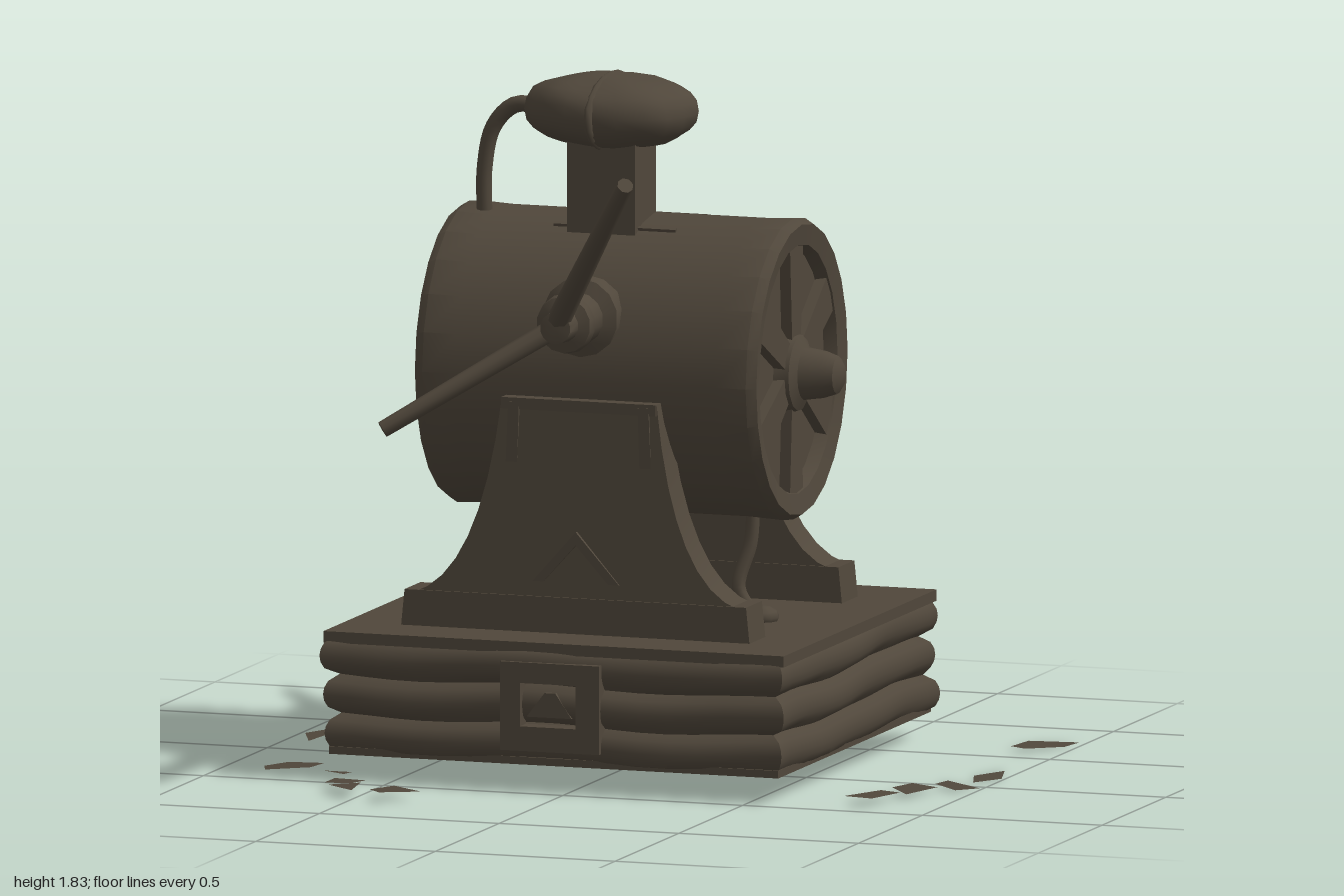
import * as THREE from 'three';
import { toCreasedNormals } from 'three/addons/utils/BufferGeometryUtils.js';

const V = (x, y, z) => new THREE.Vector3(x, y, z);

export function createModel() {
  const root = new THREE.Group();
  root.name = 'oldMachine';
  const iron = new THREE.MeshStandardMaterial({ color: 0x50473b, side: THREE.DoubleSide });
  iron.name = 'darkBrown';
  const CX = -0.04, CZ = -0.135;

  function add(parent, name, geo, x = 0, y = 0, z = 0, crease = 0.6) {
    const mesh = new THREE.Mesh(toCreasedNormals(geo, crease), iron);
    mesh.name = name;
    mesh.position.set(x, y, z);
    parent.add(mesh);
    return mesh;
  }
  const lathe = (pts, n = 18) => new THREE.LatheGeometry(pts.map(p => new THREE.Vector2(...p)), n);
  const shape = pts => new THREE.Shape(pts.map(p => new THREE.Vector2(...p)));
  const extrude = (s, depth) => new THREE.ExtrudeGeometry(s, { depth, bevelEnabled: false, curveSegments: 8 });
  const tube = (pts, r) => new THREE.TubeGeometry(new THREE.CatmullRomCurve3(pts), 20, r, 8);

  // Tapered round bar between two points
  function bar(parent, name, a, b, ra, rb) {
    const m = add(parent, name, new THREE.CylinderGeometry(rb, ra, a.distanceTo(b), 8), 0, 0, 0, 0.9);
    m.position.copy(a).lerp(b, 0.5);
    m.quaternion.setFromUnitVectors(V(0, 1, 0), b.clone().sub(a).normalize());
  }

  // Base: three stacked, uneven rows under a flat slab
  const rows = new THREE.BoxGeometry(1.28, 0.31, 1.22, 16, 18, 16);
  const p = rows.attributes.position;
  for (let i = 0; i < p.count; i++) {
    const x = p.getX(i), y = p.getY(i), z = p.getZ(i);
    const t = (y + 0.155) / 0.31;
    const inset = 0.035 * (1 - Math.sqrt(Math.abs(Math.sin(t * Math.PI * 3)))) +
      0.006 * Math.sin(x * 11 + z * 13 + Math.floor(t * 2.99) * 2);
    p.setX(i, x * (1 - inset / 0.64));
    p.setZ(i, z * (1 - inset / 0.61));
    if (t > 0.05 && t < 0.95) p.setY(i, y + 0.006 * Math.sin(x * 9 - z * 7));
  }
  add(root, 'stackedBase', rows, CX, 0.225, -0.14, 0.8);
  add(root, 'baseSlab', new THREE.BoxGeometry(1.28, 0.03, 1.2), CX, 0.38, -0.14);
  add(root, 'baseFoot', new THREE.BoxGeometry(1.25, 0.02, 1.2), CX, 0.08, -0.14);

  // Plaques with a recessed square on the front and back of the base
  const frontPlate = shape([[-0.18, 0.11], [0.095, 0.11], [0.095, 0.345], [-0.18, 0.345]]);
  const backPlate = shape([[-0.12, 0.1], [0.095, 0.1], [0.19, 0.345], [-0.18, 0.345]]);
  for (const s of [frontPlate, backPlate]) {
    s.holes.push(new THREE.Path([[-0.125, 0.175], [-0.125, 0.29], [0.03, 0.29], [0.03, 0.175]]
      .map(q => new THREE.Vector2(...q))));
  }
  add(root, 'frontPlaque', extrude(frontPlate, 0.05), 0, 0, 0.435);
  add(root, 'backPlaque', extrude(backPlate, 0.05), 0, 0, -0.76);
  const wedge = shape([[-0.11, 0.2], [0.015, 0.2], [-0.03, 0.265], [-0.06, 0.265]]);
  add(root, 'frontPlaqueEmblem', extrude(wedge, 0.03), 0, 0, 0.445);
  add(root, 'backPlaqueEmblem', extrude(wedge, 0.03), 0, 0, -0.75);

  // Flared stands, one mirrored to the back
  for (const side of [1, -1]) {
    const stand = new THREE.Group();
    stand.name = side > 0 ? 'frontStand' : 'backStand';
    const body = new THREE.Shape();
    body.moveTo(-0.46, 0.48);
    body.quadraticCurveTo(-0.27, 0.53, -0.215, 1.01);
    body.lineTo(0.215, 1.01);
    body.quadraticCurveTo(0.27, 0.53, 0.46, 0.48);
    const bodyGeo = extrude(body, 0.1);
    const b = bodyGeo.attributes.position;
    // Lean the outer face inwards towards the top
    for (let i = 0; i < b.count; i++) if (b.getZ(i) > 0.05) b.setZ(i, 0.115 - (b.getY(i) - 0.48) * 0.05);
    add(stand, 'standBody', bodyGeo, 0, 0, 0.305, 0.5);
    add(stand, 'standFoot', extrude(shape([[-0.485, 0.39], [0.485, 0.39], [0.475, 0.49], [-0.475, 0.49]]), 0.125), 0, 0, 0.3);
    // Raised chevron and border strips
    add(stand, 'standChevron', extrude(shape([[-0.12, 0.53], [-0.09, 0.53], [0, 0.63], [0.09, 0.53],
      [0.12, 0.53], [0, 0.665]]), 0.012), 0, 0, 0.41);
    for (const s of [-1, 1]) {
      add(stand, 'standBorder', extrude(shape([[s * 0.215, 0.53], [s * 0.18, 0.53], [s * 0.165, 1.0],
        [s * 0.195, 1.0]]), 0.012), 0, 0, 0.39);
    }
    add(stand, 'standCap', new THREE.BoxGeometry(0.43, 0.03, 0.1), 0, 0.995, 0.35);
    stand.position.set(CX, 0, CZ);
    if (side < 0) stand.rotation.y = Math.PI;
    root.add(stand);
  }

  // Drum with recessed spoked ends
  const drum = new THREE.Group();
  drum.name = 'drum';
  drum.position.set(-0.035, 1.06, CZ);
  drum.scale.set(1, 1, 0.93);
  root.add(drum);
  const barrel = lathe([[0, -0.43], [0.32, -0.43], [0.33, -0.465], [0.385, -0.475], [0.4, -0.45], [0.395, -0.36],
    [0.395, 0.36], [0.4, 0.45], [0.385, 0.475], [0.33, 0.465], [0.32, 0.43], [0, 0.43]], 24);
  barrel.rotateZ(-Math.PI / 2);
  add(drum, 'barrel', barrel);
  for (const side of [1, -1]) {
    const end = new THREE.Group();
    end.name = side > 0 ? 'leftWheel' : 'rightWheel';
    for (let i = 0; i < 6; i++) {
      const spoke = extrude(shape([[0.05, -0.035], [0.33, -0.055], [0.33, 0.055], [0.05, 0.035]]), 0.035);
      spoke.rotateY(Math.PI / 2);
      spoke.rotateX(i * Math.PI / 3 + Math.PI / 2);
      add(end, 'spoke', spoke, 0.425, 0, 0);
    }
    const hub = lathe([[0.11, 0.42], [0.1, 0.47], [0.07, 0.485], [0.062, 0.54], [0.05, 0.575], [0.03, 0.588], [0, 0.59]], 14);
    hub.rotateZ(-Math.PI / 2);
    add(end, 'hub', hub, 0, -0.01, 0);
    if (side < 0) end.rotation.y = Math.PI;
    drum.add(end);
  }
  // Thin seam on the front and back of the drum top
  for (const a of [0.35, -0.35]) {
    const seam = add(drum, 'drumSeam', new THREE.BoxGeometry(0.34, 0.008, 0.012),
      0, 0.396 * Math.cos(a), 0.396 * Math.sin(a));
    seam.rotation.x = a;
  }

  // Axle bosses on the front and back of the drum
  const boss = [[0.105, 0], [0.105, 0.06], [0.07, 0.075], [0.065, 0.16], [0.08, 0.165], [0.075, 0.19], [0.045, 0.2],
    [0.042, 0.255], [0, 0.26]];
  for (const side of [1, -1]) {
    const g = lathe(boss, 14);
    g.rotateX(side * Math.PI / 2);
    add(root, side > 0 ? 'frontBoss' : 'backBoss', g, -0.05, 1.225, side > 0 ? 0.165 : -0.435);
  }

  // Levers and the small rear crank
  bar(root, 'longLever', V(-0.06, 1.23, 0.38), V(0.305, 1.69, 0.87), 0.032, 0.022);
  bar(root, 'shortLever', V(-0.05, 1.23, 0.36), V(-0.47, 0.96, 0.59), 0.028, 0.022);
  bar(root, 'backLever', V(-0.06, 1.225, -0.6), V(-0.47, 0.96, -0.88), 0.032, 0.022);
  bar(root, 'crankStem', V(-0.04, 1.21, -0.66), V(-0.04, 1.31, -0.71), 0.03, 0.025);
  add(root, 'crankHandle', new THREE.BoxGeometry(0.09, 0.02, 0.06), -0.04, 1.315, -0.715);

  // Chimney with a lumpy cap and a bent pipe
  add(root, 'chimney', new THREE.BoxGeometry(0.19, 0.3, 0.165), -0.065, 1.53, -0.065);
  const cap = new THREE.SphereGeometry(1, 20, 14);
  const c = cap.attributes.position;
  for (let i = 0; i < c.count; i++) {
    const x = c.getX(i), y = c.getY(i), z = c.getZ(i);
    const k = 1 + 0.03 * Math.sin(x * 7 + y * 3) * Math.cos(z * 5);
    c.setXYZ(i, x * 0.235 * k, Math.sign(y) * Math.pow(Math.abs(y), 0.8) * 0.098 * k, z * 0.178 * k);
  }
  add(root, 'chimneyCap', cap, -0.068, 1.732, -0.073, 1.2);
  const band = add(root, 'capBand', new THREE.TorusGeometry(0.093, 0.012, 6, 20), -0.07, 1.73, -0.073, 1.2);
  band.rotation.y = Math.PI / 2;
  band.scale.set(1.85, 1, 1);
  add(root, 'bentPipe', tube([V(-0.26, 1.73, -0.08), V(-0.34, 1.73, -0.085), V(-0.4, 1.67, -0.085),
    V(-0.425, 1.56, -0.085), V(-0.425, 1.42, -0.085)], 0.022), 0, 0, 0, 1.2);

  // Drain hoses beneath the drum
  for (const s of [-1, 1]) {
    add(root, 'drainHose', tube([V(CX + s * 0.35, 0.72, -0.12), V(CX + s * 0.345, 0.6, -0.115),
      V(CX + s * 0.32, 0.48, -0.09), V(CX + s * 0.36, 0.41, -0.09)], 0.019), 0, 0, 0, 1.2);
    const foot = add(root, 'hoseFoot', new THREE.SphereGeometry(0.05, 10, 6), CX + s * 0.38, 0.405, -0.095, 1.2);
    foot.scale.y = 0.6;
  }

  // Flat shards scattered on the ground, as x, z outlines
  const shards = [
    [[-0.99, -0.71], [-0.94, -0.81], [-0.9, -0.72], [-0.91, -0.64], [-0.98, -0.69]],
    [[-0.91, -0.66], [-0.87, -0.71], [-0.77, -0.64], [-0.87, -0.65]],
    [[-0.88, -0.6], [-0.81, -0.63], [-0.81, -0.55], [-0.86, -0.48]],
    [[-0.92, -0.35], [-0.85, -0.47], [-0.88, -0.36]],
    [[-0.99, -0.27], [-0.9, -0.37], [-0.9, -0.27], [-0.92, -0.1]],
    [[0.86, -0.59], [0.87, -0.7], [0.98, -0.79], [0.97, -0.7], [0.9, -0.59]],
    [[0.92, -0.13], [0.96, -0.26], [0.99, -0.15], [0.95, -0.04]],
    [[0.88, 0.06], [0.89, -0.01], [0.99, 0.02], [0.95, 0.1]],
    [[0.81, 0.2], [0.83, 0.1], [0.9, 0.1], [0.87, 0.26]],
    [[0.75, 0.41], [0.8, 0.26], [0.85, 0.25], [0.82, 0.39]],
    [[-0.88, 0.36], [-0.83, 0.31], [-0.72, 0.34], [-0.73, 0.42], [-0.85, 0.44]],
    [[-0.68, 0.46], [-0.6, 0.46], [-0.61, 0.5]],
    [[-0.61, 0.57], [-0.52, 0.58], [-0.54, 0.64], [-0.61, 0.65]],
    [[-0.59, 0.68], [-0.52, 0.62], [-0.5, 0.75]],
    [[-0.46, 0.72], [-0.42, 0.64], [-0.32, 0.71], [-0.42, 0.76]],
  ];
  for (const pts of shards) {
    const g = new THREE.ShapeGeometry(shape(pts.map(([x, z]) => [x, -z])));
    g.rotateX(-Math.PI / 2);
    const q = g.attributes.position;
    for (let i = 0; i < q.count; i++) q.setY(i, Math.max(0, Math.min(0.025, 0.02 + 0.11 * (0.81 - Math.abs(q.getX(i))))));
    add(root, 'groundShard', g);
  }
  return root;
}
